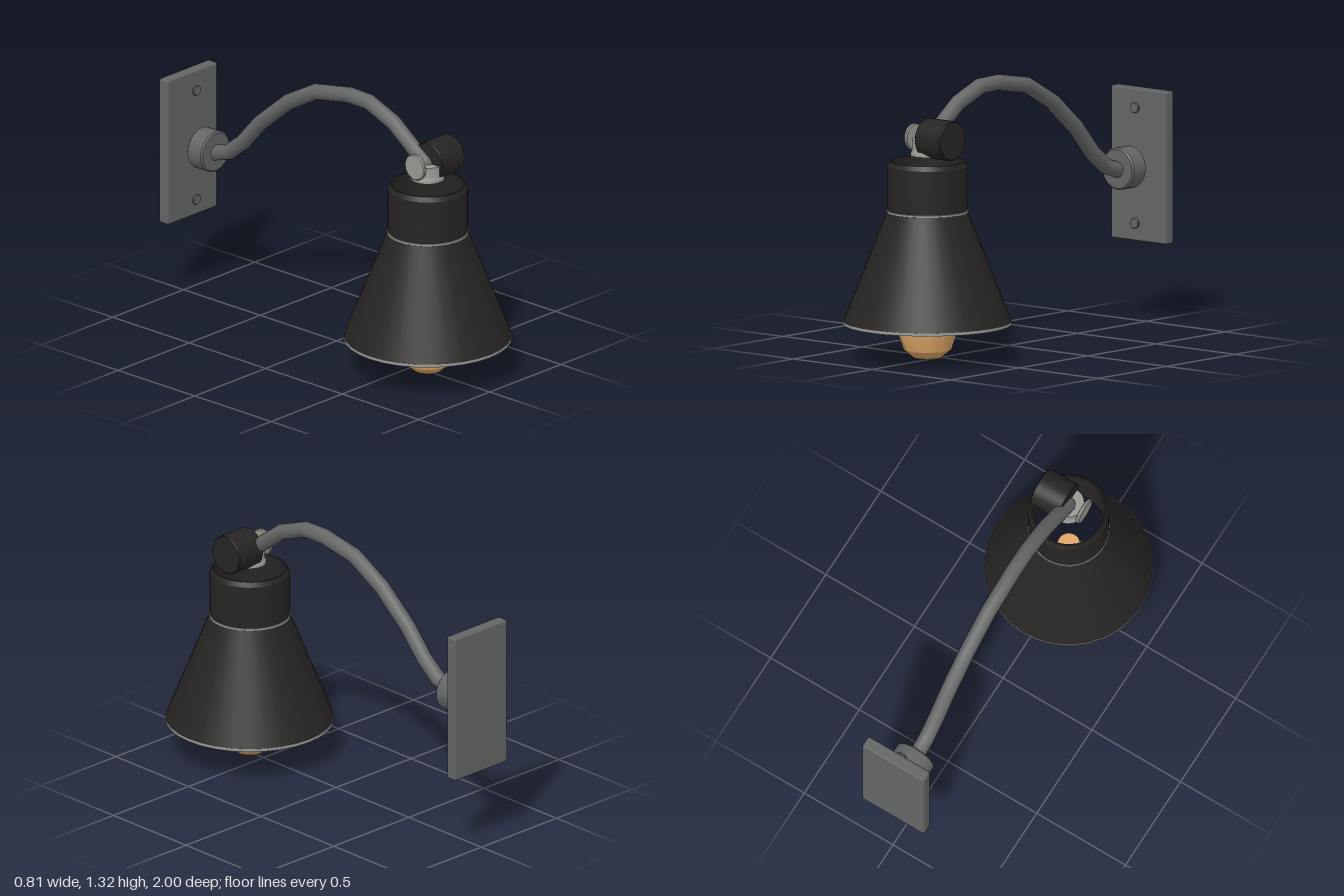
import * as THREE from 'three';
import { toCreasedNormals } from 'three/addons/utils/BufferGeometryUtils.js';
import { RoundedBoxGeometry } from 'three/addons/geometries/RoundedBoxGeometry.js';

const LAMP_Z = 0.595; // axis of shade and bulb

export function createModel() {
  const group = new THREE.Group();
  const mat = (color) => new THREE.MeshStandardMaterial({ color });
  const black = mat(0x262523), iron = mat(0x646666), steel = mat(0x9a9a94);
  const lining = mat(0xa89e84), amber = mat(0xe0a868);

  const add = (name, geometry, material, x, y, z) => {
    const mesh = new THREE.Mesh(geometry, material);
    mesh.name = name;
    mesh.position.set(x, y, z);
    group.add(mesh);
    return mesh;
  };
  const lathe = (profile, sides) => toCreasedNormals(
    new THREE.LatheGeometry(profile.map(([r, y]) => new THREE.Vector2(r, y)), sides), 0.5);
  // Solid disc with chamfered ends, centred on its own axis
  const disc = (r, h, bevel, sides) => lathe([
    [0, -h / 2], [r - bevel, -h / 2], [r, -h / 2 + bevel],
    [r, h / 2 - bevel], [r - bevel, h / 2], [0, h / 2]], sides);

  // Wall plate, its two screws and the arm flange
  add('wallPlate', new RoundedBoxGeometry(0.35, 0.74, 0.06, 1, 0.01), iron, 0, 0.77, -0.97);
  for (const y of [0.49, 1.05]) {
    add('plateScrew', disc(0.027, 0.014, 0.004, 16), iron, 0, y, -0.916).rotation.x = Math.PI / 2;
  }
  add('armFlange', disc(0.102, 0.1, 0.008, 28), iron, 0, 0.768, -0.837).rotation.x = Math.PI / 2;

  // Gooseneck arm, swept straight from point to point (z, y)
  const path = new THREE.CatmullRomCurve3([
    [-0.83, 0.76], [-0.786, 0.765], [-0.703, 0.791], [-0.607, 0.869], [-0.492, 1.0],
    [-0.318, 1.147], [-0.131, 1.251], [0.083, 1.289], [0.211, 1.286], [0.374, 1.222],
    [0.513, 1.118], [0.585, 1.07],
  ].map(([z, y]) => new THREE.Vector3(0, y, z)));
  path.getPointAt = (t) => path.getPoint(t);
  path.getTangentAt = (t) => path.getTangent(t);
  add('arm', new THREE.TubeGeometry(path, path.points.length - 1, 0.039, 12), iron, 0, 0, 0);
  add('armTip', new THREE.SphereGeometry(0.039, 12, 8), iron, 0, 1.07, 0.585);

  // Swivel joint: base, knob on the left, thumb disc on the right
  add('swivelBase', lathe([[0, 0.995], [0.08, 0.995], [0.08, 1.01], [0.075, 1.02],
    [0.075, 1.075], [0, 1.075]], 24), steel, 0, 0, LAMP_Z);
  add('swivelKnob', disc(0.096, 0.16, 0.005, 28), black, 0.08, 1.08, LAMP_Z).rotation.z = Math.PI / 2;
  add('thumbDisc', disc(0.065, 0.02, 0.005, 20), steel, -0.085, 1.077, LAMP_Z).rotation.z = Math.PI / 2;

  // Shade: open collar, flared cone, pale lining and metal bands
  add('shadeCollar', lathe([[0.193, 0.73], [0.193, 0.945], [0.18, 0.968], [0.173, 0.968],
    [0.173, 0.73]], 32), black, 0, 0, LAMP_Z);
  add('shadeCone', lathe([[0.403, 0.195], [0.194, 0.722]], 32), black, 0, 0, LAMP_Z);
  add('shadeLining', lathe([[0.173, 0.73], [0.39, 0.18]], 32), lining, 0, 0, LAMP_Z);
  add('collarBand', lathe([[0.193, 0.72], [0.197, 0.722], [0.197, 0.731], [0.192, 0.733]], 32),
    steel, 0, 0, LAMP_Z);
  add('shadeRim', lathe([[0.39, 0.18], [0.405, 0.18], [0.405, 0.195], [0.384, 0.195]], 32),
    steel, 0, 0, LAMP_Z);

  // Pear-shaped bulb with a narrow neck
  add('bulb', lathe([[0, 0.005], [0.07, 0.018], [0.115, 0.055], [0.141, 0.135], [0.141, 0.18],
    [0.12, 0.25], [0.085, 0.31], [0.064, 0.35], [0.064, 0.4], [0.055, 0.41], [0.055, 0.5],
    [0, 0.5]], 14), amber, 0, 0, LAMP_Z);

  return group;
}
